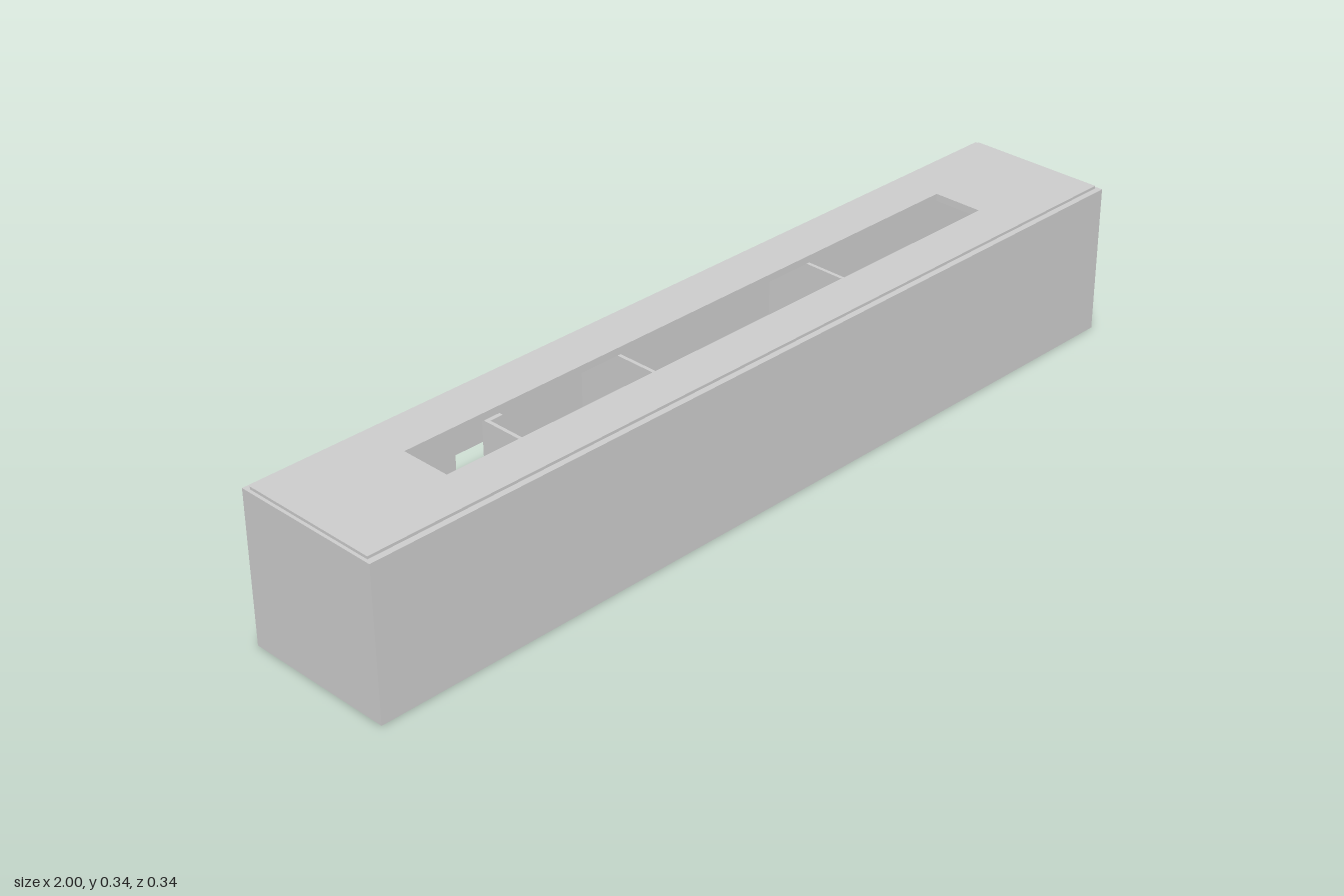
import * as THREE from 'three';

// Overall sizes of the long flat-roofed building
const HALF_X = 1, HALF_Z = 0.172, WALL_TOP = 0.332, ROOF_TOP = 0.338;
const END_WALL = 0.007, LONG_WALL = 0.0135, FLOOR = 0.004, ROOF_BOTTOM = 0.322;
const IN_X = HALF_X - END_WALL, IN_Z = HALF_Z - LONG_WALL;

const material = new THREE.MeshStandardMaterial({ color: 0xcccccc, flatShading: true });

// Box given by its limits on each axis
function block(name, [x0, x1], [y0, y1], [z0, z1]) {
  const mesh = new THREE.Mesh(new THREE.BoxGeometry(x1 - x0, y1 - y0, z1 - z0), material);
  mesh.position.set((x0 + x1) / 2, (y0 + y1) / 2, (z0 + z1) / 2);
  mesh.name = name;
  return mesh;
}

function rectangle(target, x0, x1, y0, y1) {
  target.moveTo(x0, y0);
  target.lineTo(x1, y0);
  target.lineTo(x1, y1);
  target.lineTo(x0, y1);
  target.closePath();
  return target;
}

function extrude(name, shape, depth) {
  const mesh = new THREE.Mesh(new THREE.ExtrudeGeometry(shape, { depth, bevelEnabled: false }), material);
  mesh.name = name;
  return mesh;
}

export function createModel() {
  const group = new THREE.Group();
  group.name = 'building';

  // Floor and plain outer walls
  group.add(block('floor', [-IN_X, IN_X], [0, FLOOR], [-IN_Z, IN_Z]));
  group.add(block('frontWall', [-HALF_X, HALF_X], [0, WALL_TOP], [IN_Z, HALF_Z]));
  group.add(block('leftEndWall', [IN_X, HALF_X], [0, WALL_TOP], [-IN_Z, IN_Z]));
  group.add(block('rightEndWall', [-HALF_X, -IN_X], [0, WALL_TOP], [-IN_Z, IN_Z]));

  // Back wall outline, cut by the doorway at its foot
  const outline = new THREE.Shape();
  [[-HALF_X, 0], [-0.53, 0], [-0.53, 0.2], [-0.397, 0.2], [-0.397, 0],
    [HALF_X, 0], [HALF_X, WALL_TOP], [-HALF_X, WALL_TOP]]
    .forEach(([x, y], i) => (i ? outline.lineTo(x, y) : outline.moveTo(x, y)));
  outline.closePath();
  const backWall = extrude('backWall', outline, LONG_WALL);
  backWall.position.z = -HALF_Z;
  group.add(backWall);

  // Roof slab set between the walls, with a long skylight slot
  const slab = rectangle(new THREE.Shape(), -IN_X, IN_X, -IN_Z, IN_Z);
  slab.holes.push(rectangle(new THREE.Path(), -0.73, 0.73, -0.057, 0.057));
  const roof = extrude('roof', slab, ROOF_TOP - ROOF_BOTTOM);
  roof.rotation.x = -Math.PI / 2;
  roof.position.y = ROOF_BOTTOM;
  group.add(roof);

  // Full-width partitions
  for (const x of [-0.201, 0.329]) {
    group.add(block('partition', [x - 0.004, x + 0.004], [FLOOR, ROOF_BOTTOM], [-IN_Z, IN_Z]));
  }

  // Entrance partition, open beside the back wall, with two short returns
  group.add(block('entrancePartition', [-0.543, -0.535], [FLOOR, ROOF_BOTTOM], [-0.062, IN_Z]));
  for (const side of [-1, 1]) {
    const z = side * 0.055;
    group.add(block('partitionReturn', [-0.535, -0.505], [FLOOR, ROOF_BOTTOM], [z - 0.007, z + 0.007]));
  }

  return group;
}
